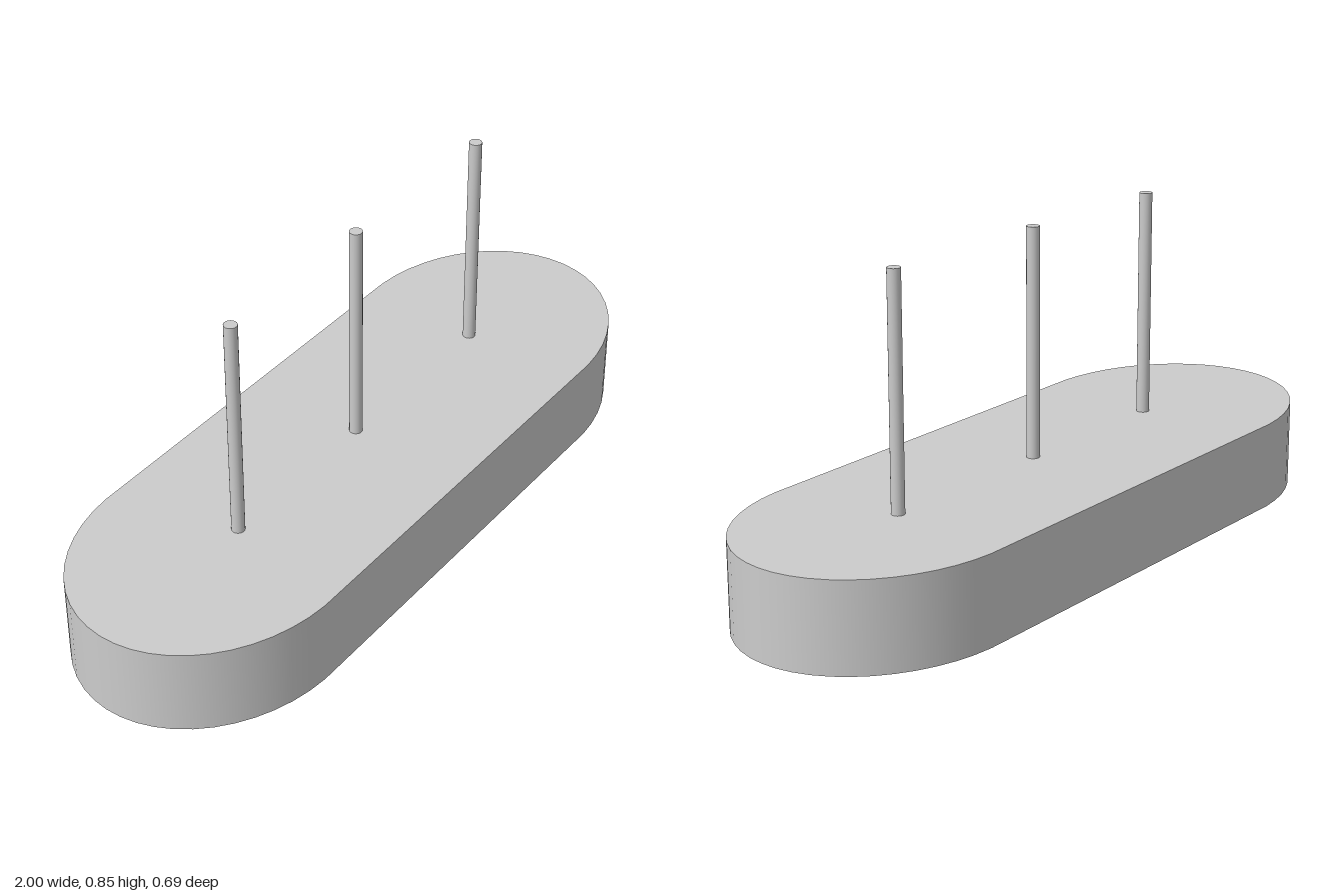
import * as THREE from 'three';

const material = new THREE.MeshStandardMaterial({ color: 0xcccccc });
const BASE_HEIGHT = 0.237;
const TOP = 0.853;

// Rounded slab: a cylinder split at x = 0, its halves pulled apart to give straight sides
function createBase() {
  const segments = 48, halfStep = Math.PI / segments;
  const endX = 0.42, straight = 0.58, halfDepth = 0.344;
  const geometry = new THREE.CylinderGeometry(1, 1, BASE_HEIGHT, segments, 1, false, halfStep);
  const fit = 1 / Math.cos(halfStep);
  geometry.scale(endX * fit, 1, halfDepth * fit);
  const p = geometry.attributes.position;
  for (let i = 0; i < p.count; i++) {
    const x = p.getX(i);
    if (Math.abs(x) > 1e-5) p.setX(i, x + Math.sign(x) * straight);
  }
  const base = new THREE.Mesh(geometry, material);
  base.name = 'base';
  base.position.y = BASE_HEIGHT / 2;
  return base;
}

export function createModel() {
  const model = new THREE.Group();
  model.name = 'pegStand';
  model.add(createBase());

  // Three upright pegs in a row, slightly sunk into the base
  const sink = 0.02, height = TOP - BASE_HEIGHT + sink;
  const pegGeometry = new THREE.CylinderGeometry(0.0175, 0.0175, height, 20);
  const pegs = { rightPeg: -0.502, middlePeg: -0.002, leftPeg: 0.537 };
  for (const [name, x] of Object.entries(pegs)) {
    const peg = new THREE.Mesh(pegGeometry, material);
    peg.name = name;
    peg.position.set(x, TOP - height / 2, 0);
    model.add(peg);
  }
  return model;
}
